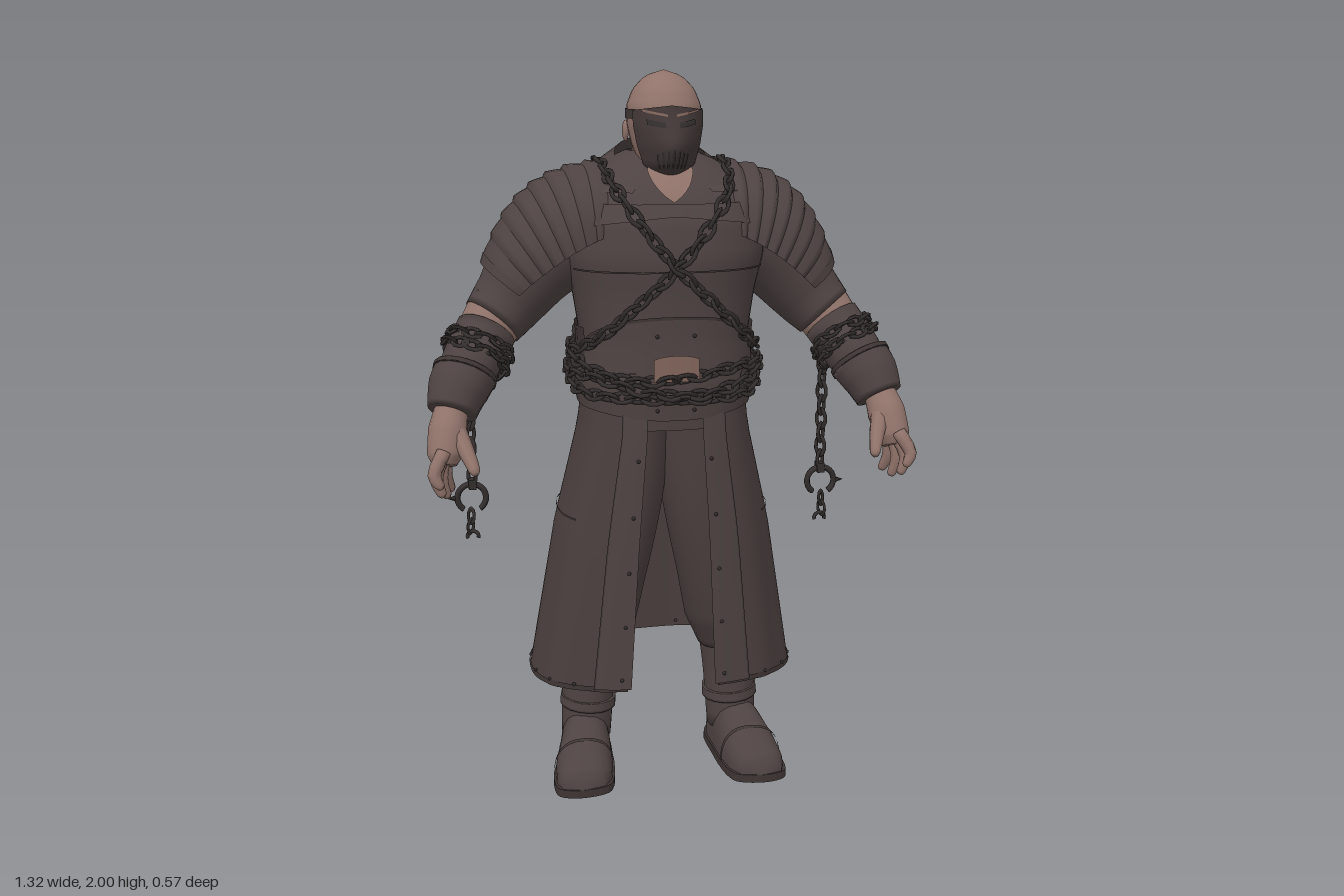
import * as THREE from 'three';
import { mergeGeometries, mergeVertices } from 'three/addons/utils/BufferGeometryUtils.js';

const mat = (name, color) => new THREE.MeshStandardMaterial({ name, color, side: THREE.DoubleSide });
const V = (x, y, z) => new THREE.Vector3(x, y, z);
const lerp = THREE.MathUtils.lerp;
const PI = Math.PI;

// Surface from a rule p(u, v), welded so closed shapes shade smoothly
function sheet(fn, nu, nv) {
  const pos = [], idx = [];
  for (let j = 0; j <= nv; j++) for (let i = 0; i <= nu; i++) pos.push(...fn(i / nu, j / nv));
  for (let j = 0; j < nv; j++) for (let i = 0; i < nu; i++) {
    const a = j * (nu + 1) + i, b = a + nu + 1;
    idx.push(a, a + 1, b + 1, a, b + 1, b);
  }
  const g = new THREE.BufferGeometry();
  g.setAttribute('position', new THREE.Float32BufferAttribute(pos, 3));
  g.setIndex(idx);
  const w = mergeVertices(g, 1e-5);
  w.computeVertexNormals();
  return w;
}

// Capped limb through points [x, y, z, radius]
function limb(pts, sides = 16, steps = 5) {
  const curve = new THREE.CatmullRomCurve3(pts.map(p => V(p[0], p[1], p[2])));
  const n = (pts.length - 1) * steps;
  return sheet((u, v) => {
    const row = Math.round(v * (n + 2)), t = Math.min(Math.max(row - 1, 0), n) / n;
    const k = Math.min(t * (pts.length - 1), pts.length - 1.0001), i = Math.floor(k);
    const r = row === 0 || row === n + 2 ? 0 : lerp(pts[i][3], pts[i + 1][3], k - i);
    const T = curve.getTangent(t), N = T.clone().cross(V(0, 0, 1)).normalize(), B = N.clone().cross(T);
    const a = (u % 1) * 2 * PI;
    return curve.getPoint(t).addScaledVector(N, r * Math.cos(a)).addScaledVector(B, r * Math.sin(a)).toArray();
  }, sides, n + 2);
}

// Interlocked links along a path
function chain(pts, closed = false, size = 1) {
  const curve = new THREE.CatmullRomCurve3(pts, closed);
  const n = Math.max(2, Math.round(curve.getLength() / (0.042 * size)));
  const links = [];
  for (let i = 0; i < n; i++) {
    const t = (i + 0.5) / n, T = curve.getTangentAt(t);
    const N = T.clone().cross(Math.abs(T.y) > 0.8 ? V(0, 0, 1) : V(0, 1, 0)).normalize();
    const g = new THREE.TorusGeometry(0.0155 * size, 0.006 * size, 5, 10);
    g.scale(1.7, 1, 1).rotateX(i % 2 ? PI / 4 : -PI / 4);
    g.applyMatrix4(new THREE.Matrix4().makeBasis(T, N, T.clone().cross(N)).setPosition(curve.getPointAt(t)));
    links.push(g);
  }
  return mergeGeometries(links);
}

// Rings [y, halfWidth, zFront, zBack]
const BODY = [[1.06, 0.22, 0.19, -0.2], [1.18, 0.238, 0.2, -0.2], [1.3, 0.232, 0.195, -0.185], [1.42, 0.25, 0.2, -0.2],
  [1.52, 0.275, 0.21, -0.22], [1.62, 0.28, 0.195, -0.235], [1.7, 0.24, 0.155, -0.225], [1.76, 0.16, 0.1, -0.195], [1.79, 0.09, 0.06, -0.15]];
const HEAD = [[1.725, 0.04, 0.11, -0.01], [1.76, 0.07, 0.138, -0.05], [1.81, 0.088, 0.14, -0.085], [1.86, 0.098, 0.137, -0.105],
  [1.91, 0.098, 0.127, -0.102], [1.95, 0.082, 0.105, -0.084], [1.98, 0.054, 0.07, -0.052], [1.995, 0.025, 0.035, -0.02], [2, 0, 0.01, 0.01]];
const COAT = [[0.3, 0.38, 0.175, -0.29], [0.75, 0.305, 0.19, -0.257], [1.05, 0.235, 0.195, -0.215], [1.18, 0.225, 0.185, -0.195]];
function ringAt(table, y) {
  let i = 0;
  while (i < table.length - 2 && y > table[i + 1][0]) i++;
  const a = table[i], b = table[i + 1], t = Math.min(1, Math.max(0, (y - a[0]) / (b[0] - a[0])));
  return a.map((s, k) => lerp(s, b[k], t));
}
// Point on a ring stack at angle a (0 = front), pushed out by off
function on(table, y, a, off = 0, n = 2.4) {
  const [, w, f, b] = ringAt(table, y), s = Math.sin(a), c = Math.cos(a), e = 2 / n;
  return [(w + off) * Math.sign(s) * Math.abs(s) ** e, y, (f + b) / 2 + ((f - b) / 2 + off) * Math.sign(c) * Math.abs(c) ** e];
}
const patch = (table, y0, y1, a0, a1, off, nu = 24, nv = 6, n = 2.4) => sheet((u, v) => {
  const a = lerp(a0, a1, u), lo = typeof y0 === 'function' ? y0(a) : y0, hi = typeof y1 === 'function' ? y1(a) : y1;
  return on(table, lerp(lo, hi, v), a, off, n);
}, nu, nv);
function onX(x, y, side, off) {
  const [, w, f, b] = ringAt(BODY, y), k = (1 - Math.min(1, Math.abs(x / (w + off))) ** 2.4) ** (1 / 2.4);
  return V(x, y, (f + b) / 2 + side * ((f - b) / 2 + off) * k);
}
// Point on the face mask, with its muzzle bulge
function maskAt(a, y, off) {
  const p = on(HEAD, y, a, off, 2.1);
  p[2] += 0.03 * Math.exp(-((a / 0.45) ** 2) - ((y - 1.805) / 0.05) ** 2);
  return p;
}
const maskPatch = (y0, y1, a0, a1, off, nu, nv) => sheet((u, v) => {
  const a = lerp(a0, a1, u);
  return maskAt(a, lerp(y0(a), y1(a), v), off);
}, nu, nv);

export function createModel() {
  const M = {
    leather: mat('leather', 0x4e4342), coat: mat('coat cloth', 0x4a3f3e), trim: mat('dark trim', 0x3e3534),
    skin: mat('skin', 0x90736a), iron: mat('dark iron', 0x342e2e), mask: mat('mask', 0x413736), brass: mat('buckle', 0x80645a),
  };
  const model = new THREE.Group();
  const add = (parent, name, geo, m) => {
    const mesh = new THREE.Mesh(geo, m);
    mesh.name = name;
    parent.add(mesh);
  };
  const part = name => { const g = new THREE.Group(); g.name = name; model.add(g); return g; };
  const mirror = (src, name) => {
    const g = part(name);
    src.children.forEach(m => {
      const geo = m.geometry.clone().scale(-1, 1, 1), ix = geo.index.array;
      for (let i = 0; i < ix.length; i += 3) [ix[i], ix[i + 1]] = [ix[i + 1], ix[i]];
      geo.computeVertexNormals();
      add(g, m.name, geo, m.material);
    });
  };
  const rivets = pts => mergeGeometries(pts.map(p => new THREE.SphereGeometry(0.0055, 6, 4).translate(...p)));

  // Head, mask and neck
  const head = part('head');
  add(head, 'skull', patch(HEAD, 1.725, 2, 0, 2 * PI, 0, 32, 24, 2.1), M.skin);
  add(head, 'neck', limb([[0, 1.62, -0.05, 0.115], [0, 1.72, -0.02, 0.09], [0, 1.82, 0, 0.08]]), M.skin);
  add(head, 'mask', maskPatch(() => 1.73, a => 1.91 - 0.012 * Math.abs(a), -1.05, 1.05, 0.009, 28, 16), M.mask);
  add(head, 'headStrap', patch(HEAD, 1.875, 1.9, 1.0, 2 * PI - 1.0, 0.004, 28, 2, 2.1), M.trim);
  for (const s of [-1, 1]) {
    add(head, 'ear', new THREE.SphereGeometry(0.026, 10, 8).scale(0.35, 1.1, 0.7).translate(s * 0.099, 1.842, -0.012), M.skin);
    add(head, 'eyeSlot', maskPatch(a => 1.85 + 0.02 * Math.abs(a), a => 1.864 + 0.02 * Math.abs(a), s * 0.15, s * 0.6, 0.012, 6, 2), M.iron);
    add(head, 'browMark', maskPatch(a => 1.88 + 0.02 * Math.abs(a), a => 1.886 + 0.02 * Math.abs(a), s * 0.1, s * 0.75, 0.012, 6, 1), M.brass);
  }
  for (let i = -3; i <= 3; i++)
    add(head, 'maskVent', maskPatch(() => 1.75, () => 1.8 - 0.004 * Math.abs(i), i * 0.14 - 0.03, i * 0.14 + 0.03, 0.012, 1, 5), M.iron);

  // Torso, collar and vest panels
  const torso = part('torso');
  add(torso, 'vest', patch(BODY, 1.06, 1.79, 0, 2 * PI, 0, 48, 30), M.leather);
  add(torso, 'collar', sheet((u, v) => {
    const a = lerp(0.36, 2 * PI - 0.36, u), lo = on(BODY, 1.69, a, 0.008), k = (1 + Math.cos(a)) / 2;
    const hi = [0.125 * Math.sin(a), 1.825 - 0.1 * k, -0.035 + 0.135 * Math.cos(a)];
    return lo.map((s, i) => lerp(s, hi[i], v) + (i === 1 ? 0 : 0.01 * Math.sin(v * PI) * Math.sign(hi[i])));
  }, 32, 5), M.leather);
  add(torso, 'throat', patch(BODY, a => 1.665 + 0.3 * Math.abs(a), 1.765, -0.27, 0.27, 0.005, 12, 4), M.skin);
  for (const s of [0, PI]) {
    add(torso, 'yokePlate', patch(BODY, a => 1.63 - 0.03 * Math.abs(a - s), 1.662, s - 0.75, s + 0.75, 0.008, 20, 2), M.leather);
    add(torso, 'chestSeam', patch(BODY, 1.486, 1.491, s - 1.2, s + 1.2, 0.004, 24, 1), M.trim);
  }
  add(torso, 'bellyPlate', patch(BODY, 1.22, a => 1.37 - 0.05 * a * a, -1.2, 1.2, 0.009, 24, 6), M.leather);
  add(torso, 'bellyTrim', patch(BODY, a => 1.364 - 0.05 * a * a, a => 1.372 - 0.05 * a * a, -1.2, 1.2, 0.012, 24, 1), M.trim);
  add(torso, 'backBelt', patch(BODY, 1.22, 1.33, 1.2, 2 * PI - 1.2, 0.009, 28, 3), M.trim);
  add(torso, 'belt', patch(BODY, a => 1.11 - 0.02 * Math.cos(a) ** 4, 1.22, 0, 2 * PI, 0.012, 48, 4), M.leather);
  add(torso, 'buckle', patch(BODY, 1.2, a => 1.27 - 0.3 * a * a, -0.18, 0.18, 0.022, 8, 3), M.brass);
  add(torso, 'beltRivets', rivets([-0.05, 0.05].flatMap(x => [onX(x, 1.32, 1, 0.011).toArray(), onX(x, 1.12, 1, 0.014).toArray()])), M.iron);

  // Chains round the waist and crossed over the chest and back
  const chains = part('bodyChains');
  [[1.238, 0.01], [1.207, -0.014], [1.175, 0.008]].forEach(([y, w], k) => {
    const pts = Array.from({ length: 24 }, (_, i) => {
      const a = i / 24 * 2 * PI;
      return V(...on(BODY, y + w * Math.sin(3 * a + k) - 0.02 * Math.cos(a) - 0.012 * Math.max(0, Math.cos(a)) ** 6, a, 0.02 + 0.006 * (k % 2)));
    });
    add(chains, 'waistChain', chain(pts, true), M.iron);
  });
  const cross = [[-0.145, 1.69], [-0.08, 1.595], [0, 1.5], [0.1, 1.405], [0.2, 1.31]];
  for (const s of [1, -1]) {
    const off = 0.02 + (s > 0 ? 0.01 : 0);
    const front = cross.map(([x, y]) => onX(x * s, y, 1, off)), back = cross.map(([x, y]) => onX(x * s, y, -1, off)).reverse();
    add(chains, 'crossChain', chain([V(-0.17 * s, 1.76, -0.05), ...front, V(0.255 * s, 1.26, 0), ...back], true), M.iron);
  }

  // Long open-fronted coat skirt
  const skirt = part('coatSkirt');
  const a0 = 0.25, a1 = 2 * PI - a0;
  add(skirt, 'skirt', sheet((u, v) => {
    const a = lerp(a0, a1, u), y = lerp(0.3, 1.18, v);
    return on(COAT, y, a, 0.004 * (1 - v) * Math.sin(a * 11), 2.6);
  }, 100, 16), M.coat);
  add(skirt, 'hem', patch(COAT, 0.303, 0.318, a0, a1, 0.006, 100, 1, 2.6), M.trim);
  add(skirt, 'backSeam', patch(COAT, 0.796, 0.801, 1, 2 * PI - 1, 0.006, 60, 1, 2.6), M.trim);
  for (const s of [1, -1]) {
    add(skirt, 'frontPanel', patch(COAT, 0.31, 1.12, s * 0.22, s * 0.5, 0.01, 6, 10, 2.6), M.leather);
    add(skirt, 'panelEdge', patch(COAT, 0.31, 1.12, s * 0.5, s * 0.515, 0.01, 2, 10, 2.6), M.trim);
    add(skirt, 'panelRivets', rivets([0.34, 0.5, 0.66, 0.82, 0.98].map(y => on(COAT, y, s * 0.29, 0.011, 2.6))), M.iron);
  }
  add(skirt, 'hemRivets', rivets(Array.from({ length: 18 }, (_, i) => on(COAT, 0.318, lerp(0.4, 2 * PI - 0.4, i / 17), 0.004, 2.6))), M.iron);

  // Left leg and boot
  const leg = part('leftLeg');
  add(leg, 'trousers', limb([[0.085, 1.12, -0.02, 0.12], [0.105, 0.85, -0.01, 0.11], [0.145, 0.6, -0.02, 0.1], [0.172, 0.46, -0.04, 0.1], [0.19, 0.36, -0.05, 0.075]]), M.coat);
  add(leg, 'bootShaft', limb([[0.195, 0.42, -0.055, 0.083], [0.21, 0.28, -0.062, 0.078], [0.222, 0.08, -0.06, 0.074]]), M.leather);
  add(leg, 'bootCuff', limb([[0.195, 0.43, -0.055, 0.088], [0.199, 0.39, -0.056, 0.09]]), M.trim);
  add(leg, 'ankleStrap', limb([[0.214, 0.2, -0.061, 0.082], [0.216, 0.17, -0.061, 0.083]]), M.leather);
  const foot = [[-0.155, 0.22, 0, 0.02], [-0.15, 0.22, 0.048, 0.07], [-0.1, 0.222, 0.07, 0.16], [0, 0.232, 0.076, 0.165], [0.08, 0.245, 0.084, 0.125],
    [0.15, 0.253, 0.08, 0.095], [0.19, 0.258, 0.06, 0.065], [0.205, 0.26, 0, 0.02]];
  const footAt = (t, u, off) => {
    const [z, x, w, h] = ringAt(foot, t), c = Math.cos(u * PI), s = Math.sin(u * PI);
    return [x + (w + off) * Math.sign(c) * Math.abs(c) ** 0.8, 0.02 + (h - 0.02 + off) * s ** 0.8, z];
  };
  add(leg, 'bootFoot', sheet((u, v) => footAt(lerp(-0.155, 0.205, v), u, 0), 16, 24), M.leather);
  add(leg, 'toeSeam', sheet((u, v) => footAt(lerp(0.088, 0.098, v), u, 0.005), 16, 1), M.trim);
  const outline = [...foot.map(f => [f[1] + f[2] + 0.005, f[0]]), ...foot.slice(1, -1).reverse().map(f => [f[1] - f[2] - 0.005, f[0]])];
  const sole = new THREE.ExtrudeGeometry(new THREE.Shape(new THREE.SplineCurve(outline.map(p => new THREE.Vector2(p[0], -p[1]))).getPoints(40)), { depth: 0.024, bevelEnabled: false });
  add(leg, 'sole', mergeVertices(sole.rotateX(-PI / 2)), M.trim);
  mirror(leg, 'rightLeg');

  // Left arm, layered shoulder guard, hand and hanging chain
  const arm = part('leftArm');
  add(arm, 'sleeve', limb([[0.18, 1.6, -0.06, 0.15], [0.32, 1.51, -0.06, 0.13], [0.42, 1.39, -0.045, 0.1], [0.468, 1.335, -0.022, 0.087]], 20), M.leather);
  add(arm, 'elbow', limb([[0.445, 1.37, -0.035, 0.088], [0.505, 1.28, 0.01, 0.077]]), M.skin);
  add(arm, 'forearmWrap', limb([[0.486, 1.312, -0.003, 0.083], [0.535, 1.23, 0.055, 0.08], [0.575, 1.14, 0.115, 0.058]]), M.leather);
  add(arm, 'gauntletCuff', limb([[0.55, 1.21, 0.072, 0.086], [0.57, 1.175, 0.098, 0.082], [0.59, 1.12, 0.13, 0.066]]), M.leather);
  add(arm, 'cuffTrim', limb([[0.547, 1.216, 0.068, 0.088], [0.552, 1.205, 0.076, 0.089]]), M.trim);
  add(arm, 'palm', limb([[0.588, 1.14, 0.12, 0.042], [0.602, 1.08, 0.16, 0.052], [0.612, 1.02, 0.19, 0.047], [0.613, 0.995, 0.2, 0.03]]), M.skin);
  [[0.60, 0.91, 0.15], [0.612, 0.905, 0.195], [0.625, 0.92, 0.235], [0.63, 0.95, 0.265]].forEach(([x, y, z], i) => {
    const bz = 0.155 + i * 0.024;
    add(arm, 'finger', limb([[0.604 + i * 0.004, 1.04, bz, 0.019], [x + 0.013, (y + 1.02) / 2, (bz + z) / 2 + 0.01, 0.018], [x, y + 0.008, z, 0.013], [x - 0.003, y, z, 0.007]], 8, 3), M.skin);
  });
  add(arm, 'thumb', limb([[0.585, 1.09, 0.165, 0.028], [0.56, 1.04, 0.215, 0.022], [0.54, 0.995, 0.262, 0.015], [0.538, 0.985, 0.27, 0.008]], 8, 3), M.skin);

  const quad = (a, b, c, t) => a.map((s, i) => s * (1 - t) ** 2 + 2 * b[i] * t * (1 - t) + c[i] * t * t);
  const guard = (s, u, flare) => {
    const T = quad([0.15, 1.755, -0.05], [0.4, 1.755, -0.06], [0.485, 1.49, -0.06], s);
    const F = quad([0.17, 1.58, 0.155], [0.28, 1.54, 0.16], [0.4, 1.425, 0.1], s);
    const B = quad([0.17, 1.57, -0.245], [0.29, 1.53, -0.245], [0.41, 1.425, -0.215], s);
    const c = Math.cos(u * PI), k = Math.sin(u * PI) ** 0.9, cc = Math.sign(c) * Math.abs(c) ** 0.9;
    return T.map((t, i) => { const m = (F[i] + B[i]) / 2; return m + flare * ((F[i] - B[i]) / 2 * cc + (t - m) * k); });
  };
  for (let i = 0; i < 8; i++)
    add(arm, 'shoulderLame', sheet((u, v) => guard((i + v * 1.1) / 8.1, u, v > 0.99 ? 1.01 : lerp(1.01, 1.065, v / 0.8)), 24, 5), M.leather);
  add(arm, 'guardRim', sheet((u, v) => guard(lerp(0.96, 1.01, v), u, 1.075), 24, 1), M.leather);

  const axis = V(0.5, -0.75, 0.5).normalize(), n1 = V(0.83, 0.55, 0).normalize(), n2 = axis.clone().cross(n1).normalize();
  [[0.508, 1.275, 0.02], [0.522, 1.25, 0.038]].forEach(([x, y, z], k) => {
    const pts = Array.from({ length: 10 }, (_, i) => V(x, y, z).addScaledVector(n1, 0.089 * Math.cos(i * PI / 5 + k)).addScaledVector(n2, 0.089 * Math.sin(i * PI / 5 + k))
      .addScaledVector(axis, 0.008 * Math.sin(i * PI * 0.4 + 2 * k)));
    add(arm, 'wristChain', chain(pts, true, 0.88), M.iron);
  });
  add(arm, 'hangingChain', chain([V(0.5, 1.28, -0.06), V(0.52, 1.315, -0.14), V(0.53, 1.3, -0.205), V(0.53, 1.2, -0.225), V(0.53, 1, -0.225), V(0.53, 0.82, -0.225)]), M.iron);
  add(arm, 'shackle', new THREE.TorusGeometry(0.042, 0.009, 6, 20, 1.6 * PI).rotateZ(-0.3 * PI).scale(1, 1, 1.6).translate(0.533, 0.775, -0.225), M.iron);
  add(arm, 'shackleSpike', new THREE.ConeGeometry(0.013, 0.035, 6).rotateZ(-PI / 2).translate(0.588, 0.775, -0.225), M.iron);
  add(arm, 'shackleHinge', new THREE.BoxGeometry(0.022, 0.03, 0.034).translate(0.53, 0.818, -0.225), M.iron);
  add(arm, 'shackleTail', chain([V(0.535, 0.735, -0.225), V(0.54, 0.67, -0.225)], false, 0.8), M.iron);
  add(arm, 'shackleHook', new THREE.TorusGeometry(0.016, 0.006, 5, 10, 1.2 * PI).rotateZ(-0.1 * PI).translate(0.533, 0.655, -0.225), M.iron);
  mirror(arm, 'rightArm');

  return model;
}
